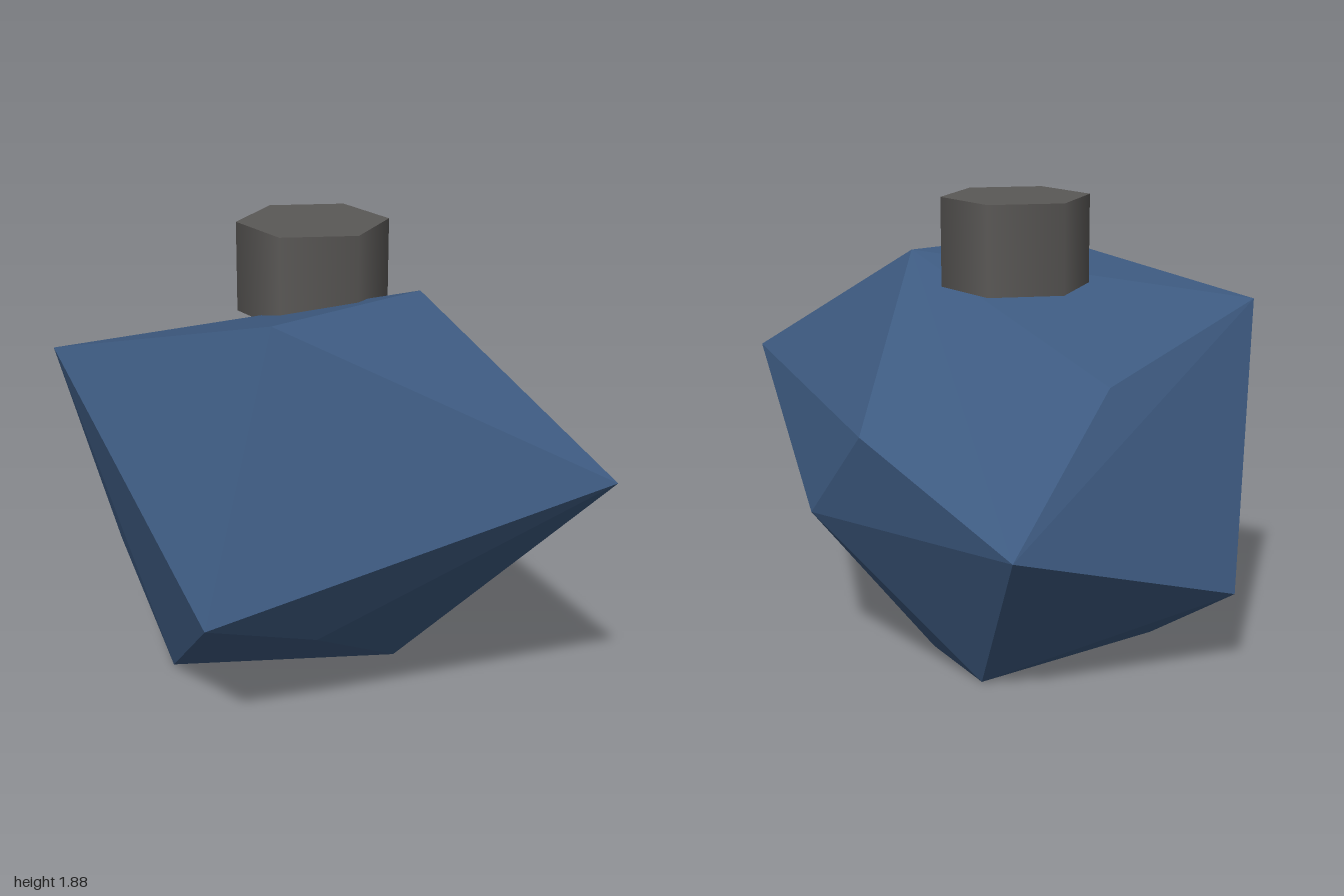
import * as THREE from 'three';
import { ConvexGeometry } from 'three/addons/geometries/ConvexGeometry.js';

export function createModel() {
  const group = new THREE.Group();
  const blue = new THREE.MeshStandardMaterial({ color: 0x3d5a80 });
  blue.name = 'slateBlue';
  const grey = new THREE.MeshStandardMaterial({ color: 0x5a5856 });
  grey.name = 'warmGrey';

  // Faceted body: hull around its corners, each facet with its own normal
  const corners = [
    // upper ridge
    [-0.20, 1.64, 0.55], [0.39, 1.65, 0.19], [-1.00, 1.43, 0.08], [-0.30, 1.20, -0.39],
    // widest ring
    [1.00, 1.13, 0.88], [0.65, 1.04, -0.36], [0.83, 0.64, -0.02], [0.15, 0.70, -0.88],
    // lower ring
    [-0.47, 0.57, 0.81], [-0.04, 0.40, 0.60], [-0.80, 0.36, -0.46],
    // flat foot
    [0.34, 0, 0.04], [-0.59, 0, 0.04], [0.19, 0, -0.34],
  ].map((p) => new THREE.Vector3(...p));
  const body = new THREE.Mesh(new ConvexGeometry(corners), blue);
  body.name = 'body';
  group.add(body);

  // Six-sided stopper with corners on the x axis
  const stopper = new THREE.Mesh(new THREE.CylinderGeometry(0.293, 0.293, 0.35, 6), grey);
  stopper.name = 'stopper';
  stopper.rotation.y = Math.PI / 6;
  stopper.position.y = 1.708;
  group.add(stopper);

  return group;
}
